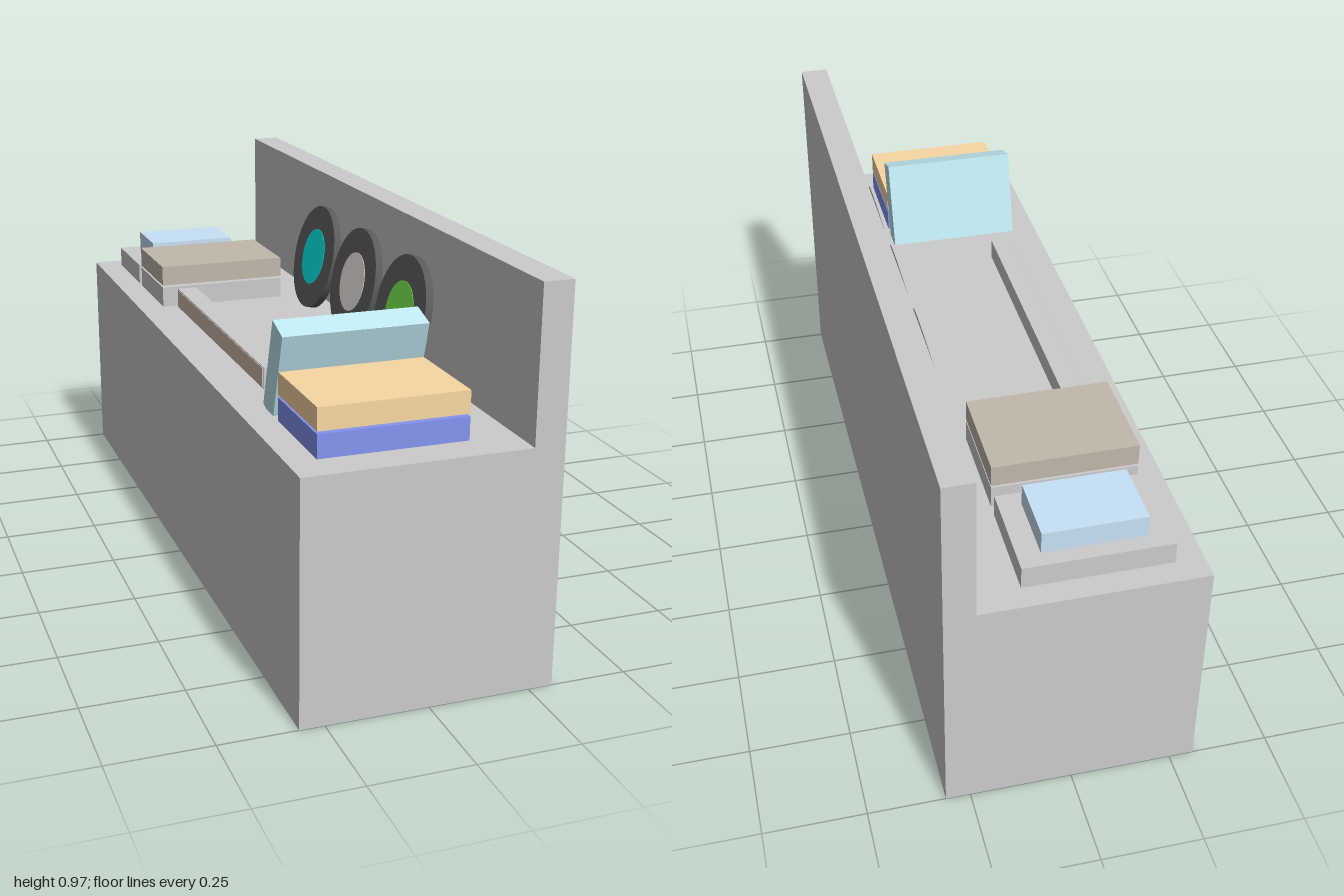
import * as THREE from 'three';

const SEAT = 0.595; // height of the bench's upper surface

export function createModel() {
  const model = new THREE.Group();

  const add = (name, geometry, color = 0xcccccc) => {
    const mesh = new THREE.Mesh(geometry, new THREE.MeshStandardMaterial({ color }));
    mesh.name = name;
    model.add(mesh);
    return mesh;
  };
  // Box given by its lower and upper limits on each axis
  const block = (name, [x0, x1], [y0, y1], [z0, z1], color) => {
    const mesh = add(name, new THREE.BoxGeometry(x1 - x0, y1 - y0, z1 - z0), color);
    mesh.position.set((x0 + x1) / 2, (y0 + y1) / 2, (z0 + z1) / 2);
    return mesh;
  };

  // Bench with raised back wall: one L-shaped section along z
  const section = new THREE.Shape([
    [-0.31, 0], [0.31, 0], [0.31, 0.97], [0.235, 0.97], [0.235, SEAT], [-0.31, SEAT],
  ].map(([x, y]) => new THREE.Vector2(x, y)));
  add('bench', new THREE.ExtrudeGeometry(section, { depth: 2, bevelEnabled: false }).translate(0, 0, -1));

  // Stacked boxes at both ends, with a small gap between the layers
  const wide = [-0.24, 0.12];
  const lower = [SEAT, 0.652];
  const upper = [0.658, 0.713];
  block('frontStackLower', wide, lower, [0.65, 0.91], 0x8494f0);
  block('frontStackUpper', wide, upper, [0.65, 0.91], 0xf8d8a4);
  block('middleStackLower', wide, lower, [-0.66, -0.4]);
  block('middleStackUpper', wide, upper, [-0.66, -0.4], 0xc0b8aa);
  block('rearTray', wide, lower, [-0.94, -0.69]);
  block('rearTrayBox', [-0.185, 0.065], [0.652, 0.708], [-0.9, -0.73], 0xc8e2f6);

  // Box leaning against the front stack
  const leaning = add('leaningBox', new THREE.BoxGeometry(0.36, 0.234, 0.073), 0xbfe8f0);
  leaning.position.set(-0.06, 0.7025, 0.61);
  leaning.rotation.x = 0.304;

  // Long bar with a plain plaque on its outer side
  block('bar', [-0.2, -0.145], [SEAT, 0.65], [-0.38, 0.42]);
  block('barPlaque', [-0.202, -0.2], [0.598, 0.647], [-0.375, 0.415], 0xd0bcae);

  // Discs leaning on the wall, each with a coloured centre
  [[-0.27, 0x00dede], [0.04, 0xe4dcd8], [0.365, 0x70e04a]].forEach(([z, color]) => {
    const parts = [
      add('disc', new THREE.CylinderGeometry(0.147, 0.147, 0.02, 64), 0x5a5a5a),
      add('discCentre', new THREE.CylinderGeometry(0.08, 0.08, 0.023, 48), color),
    ];
    for (const part of parts) {
      part.position.set(0.187, 0.74, z);
      part.rotation.z = Math.PI / 2 - 0.22;
    }
  });

  return model;
}
